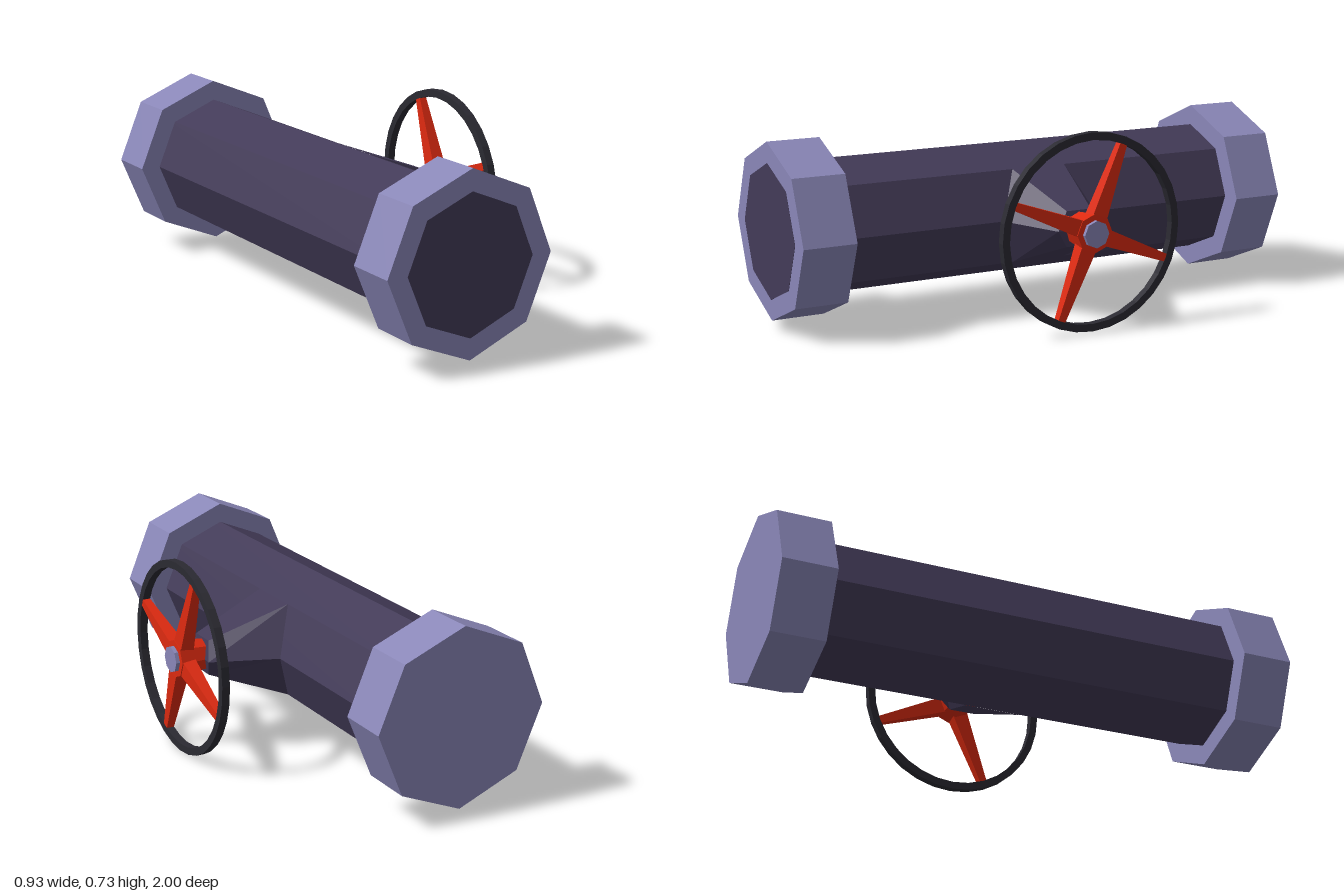
import * as THREE from 'three';

const CY = 0.365, PIPE_X = -0.14, WHEEL_X = 0.42;
const mat = (color) => new THREE.MeshStandardMaterial({ color, flatShading: true });

export function createModel() {
  const model = new THREE.Group();
  const dark = mat(0x433b58), lilac = mat(0x8a87b8), red = mat(0xdd2a10), black = mat(0x2b2a32);

  const add = (name, geometry, material, x = 0, y = CY, z = 0, parent = model) => {
    const mesh = new THREE.Mesh(geometry, material);
    mesh.name = name;
    mesh.position.set(x, y, z);
    parent.add(mesh);
    return mesh;
  };
  const alongZ = (r, length) => new THREE.CylinderGeometry(r, r, length, 8).rotateX(Math.PI / 2);
  const alongX = (rStart, rEnd, length) =>
    new THREE.CylinderGeometry(rEnd, rStart, length, 8).rotateZ(-Math.PI / 2);

  // Octagonal pipe, its front end flush with the front collar
  add('pipe', alongZ(0.25, 1.902), dark, PIPE_X, CY, 0.05);
  for (const [name, s] of [['frontCollar', 1], ['backCollar', -1]]) {
    add(name, alongZ(0.327, 0.2), lilac, PIPE_X, CY, 0.9 * s);
  }

  // Six-sided tapering branch growing out of the pipe's side ridges
  add('branch', branchGeometry(), dark);

  // Hub and end nut of the hand wheel
  add('hub', alongX(0.06, 0.072, 0.115), red, 0.3925);
  add('nut', alongX(0.05, 0.05, 0.03), lilac, 0.45);

  // Hand wheel: rim and four tapered spokes
  const wheel = new THREE.Group();
  wheel.name = 'handWheel';
  wheel.position.set(WHEEL_X, CY, 0);
  wheel.rotation.x = -0.385;
  model.add(wheel);
  const profile = [[0.335, -0.015], [0.363, -0.015], [0.363, 0.015], [0.335, 0.015], [0.335, -0.015]]
    .map(([r, h]) => new THREE.Vector2(r, h));
  add('rim', new THREE.LatheGeometry(profile, 32).rotateZ(-Math.PI / 2), black, 0, 0, 0, wheel);
  for (let i = 0; i < 4; i++) {
    const spoke = add('spoke', spokeGeometry(), red, 0, 0, 0, wheel);
    spoke.rotation.x = i * Math.PI / 2;
  }
  return model;
}

// Box narrowing from the hub to the rim
function spokeGeometry() {
  const g = new THREE.BoxGeometry(2, 0.345, 2).translate(0, 0.1725, 0);
  const p = g.attributes.position;
  for (let i = 0; i < p.count; i++) {
    const tip = p.getY(i) > 0.1;
    p.setX(i, p.getX(i) * (tip ? 0.014 : 0.029));
    p.setZ(i, p.getZ(i) * (tip ? 0.014 : 0.034));
  }
  g.computeVertexNormals();
  return g;
}

// Loft between two bent hexagons: side corners and upper/lower corners sit at different x
function branchGeometry() {
  const ring = (xSide, zSide, x, y, z) => [
    [xSide, 0, zSide], [x, y, z], [x, y, -z],
    [xSide, 0, -zSide], [x, -y, -z], [x, -y, z],
  ];
  const base = ring(0.11, 0.185, 0.037, 0.177, 0.11);
  const end = ring(0.358, 0.097, 0.335, 0.066, 0.05);
  const tri = [];
  for (let i = 0; i < 6; i++) {
    const j = (i + 1) % 6;
    tri.push(base[i], end[j], base[j], base[i], end[i], end[j]);
    tri.push([0.35, 0, 0], end[j], end[i]);
  }
  const g = new THREE.BufferGeometry();
  g.setAttribute('position', new THREE.Float32BufferAttribute(tri.flat(), 3));
  g.computeVertexNormals();
  return g;
}
